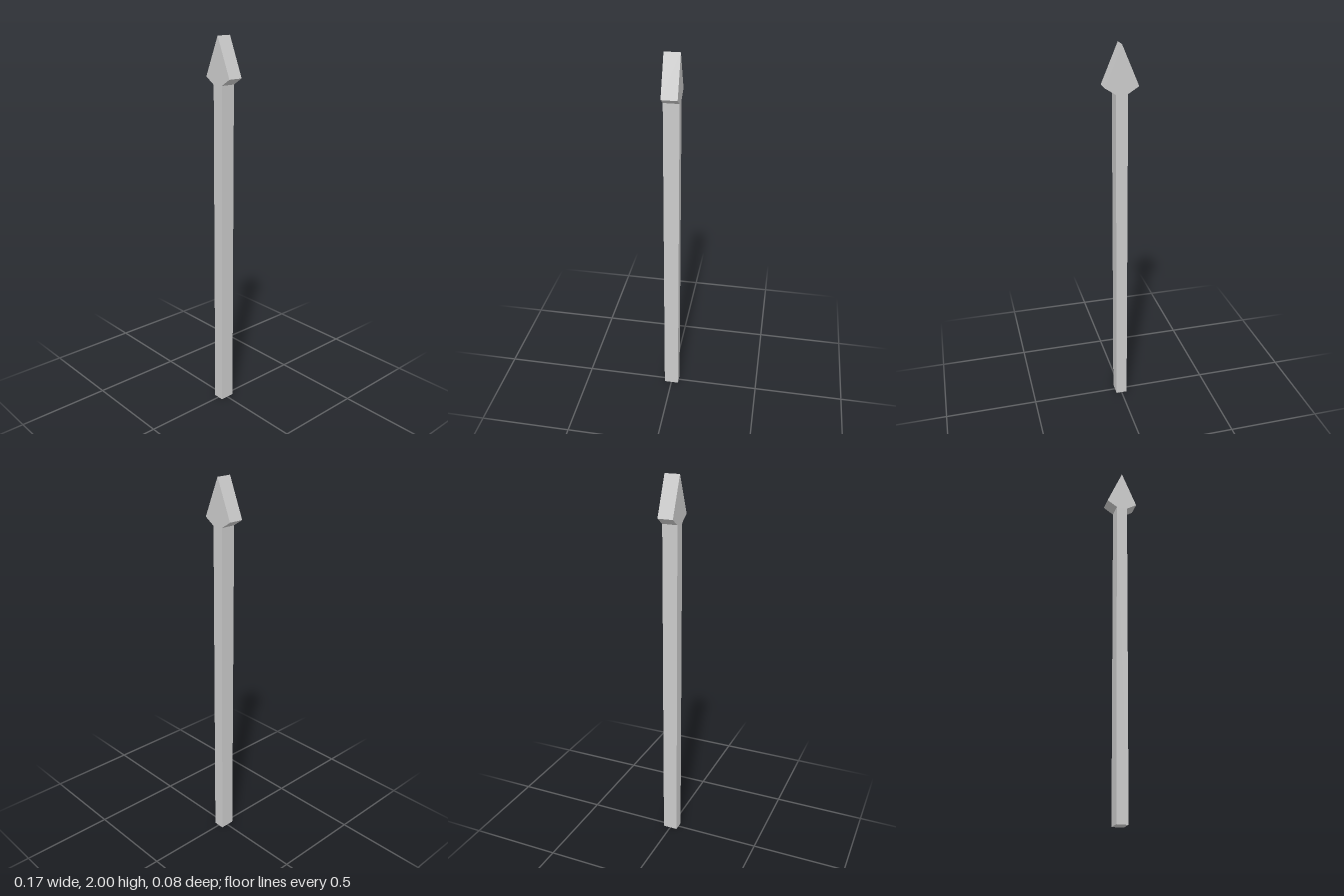
import * as THREE from 'three';

const SHAFT_HALF = 0.03;
const HEAD_HALF = 0.085;
const DEPTH = 0.08;

export function createModel() {
  const group = new THREE.Group();
  group.name = 'arrow';

  // Right half of the outline from foot to tip; the left half is mirrored
  const half = [
    [SHAFT_HALF, 0],
    [SHAFT_HALF, 1.765],
    [HEAD_HALF, 1.8],
  ];
  const outline = [
    ...half,
    [0, 2],
    ...half.map(([x, y]) => [-x, y]).reverse(),
  ].map(([x, y]) => new THREE.Vector2(x, y));

  // Shaft and pointed head in one flat slab
  const geometry = new THREE.ExtrudeGeometry(new THREE.Shape(outline), {
    depth: DEPTH,
    bevelEnabled: false,
  });
  geometry.translate(0, 0, -DEPTH / 2);

  const material = new THREE.MeshStandardMaterial({ color: 0xcccccc, flatShading: true });
  const arrow = new THREE.Mesh(geometry, material);
  arrow.name = 'shaftAndHead';
  group.add(arrow);
  return group;
}
